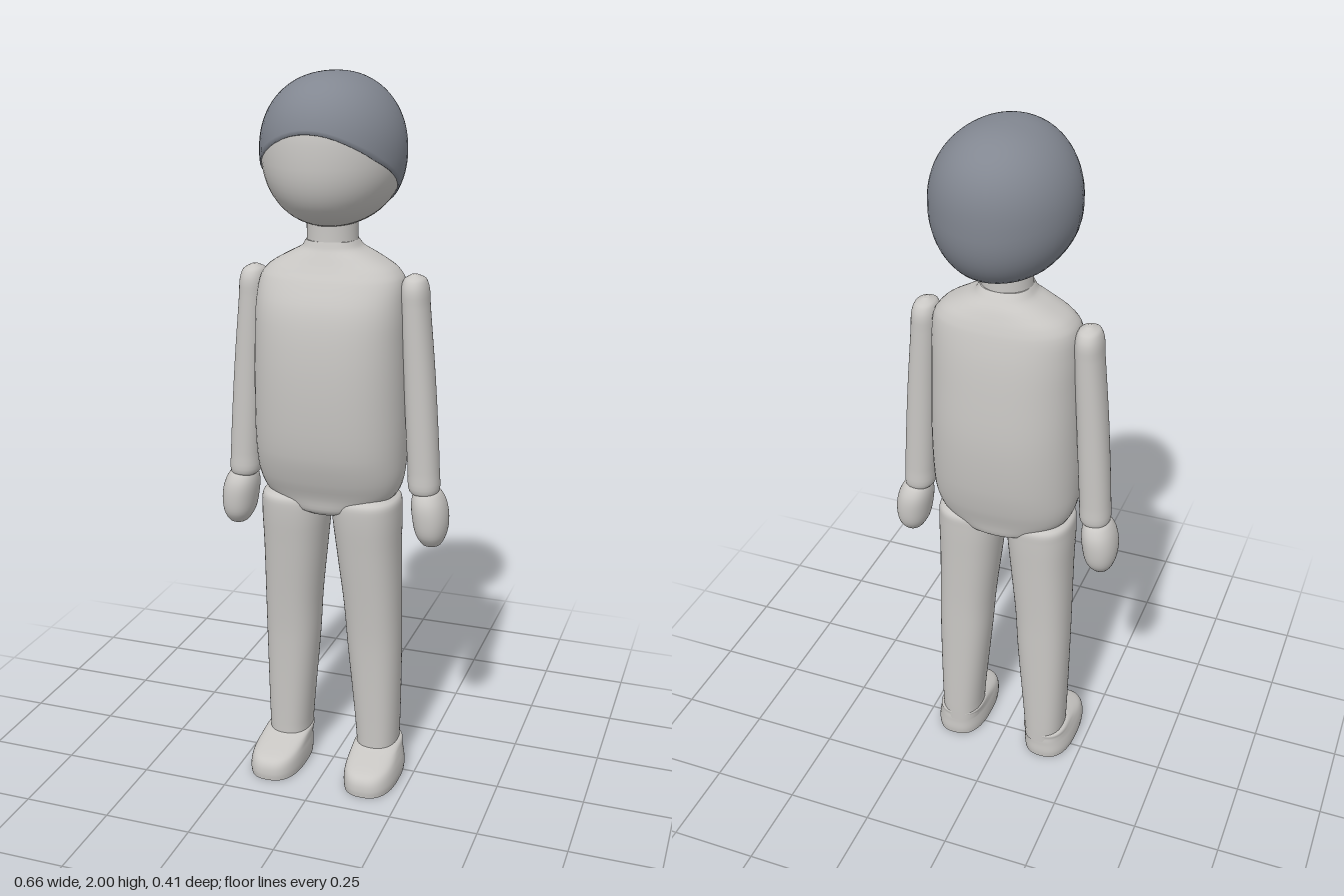
import * as THREE from 'three';

const COLS = 48;

// Closed smooth skin: point(row, angle) runs bottom to top; angle 0 faces +z
function skin(rows, point, caps = false) {
  const pos = [], idx = [];
  for (let i = 0; i < rows; i++)
    for (let j = 0; j < COLS; j++) pos.push(...point(i, (j / COLS) * Math.PI * 2));
  for (let i = 0; i < rows - 1; i++)
    for (let j = 0; j < COLS; j++) {
      const a = i * COLS + j, b = i * COLS + ((j + 1) % COLS);
      idx.push(a, b, b + COLS, a, b + COLS, a + COLS);
    }
  if (caps) {
    for (const row of [0, rows - 1]) {
      const start = pos.length / 3, mid = [0, 0, 0];
      for (let j = 0; j < COLS; j++) {
        const p = point(row, (j / COLS) * Math.PI * 2);
        pos.push(...p);
        p.forEach((v, k) => { mid[k] += v / COLS; });
      }
      pos.push(...mid);
      for (let j = 0; j < COLS; j++) {
        const a = start + j, b = start + ((j + 1) % COLS), c = start + COLS;
        if (row === 0) idx.push(c, b, a);
        else idx.push(c, a, b);
      }
    }
  }
  const g = new THREE.BufferGeometry();
  g.setAttribute('position', new THREE.Float32BufferAttribute(pos, 3));
  g.setIndex(idx);
  g.computeVertexNormals();
  return g;
}

const spow = (v, p) => Math.sign(v) * Math.pow(Math.abs(v), p);

// Loft through rings [y, centre x, centre z, half width, half depth]
function loft(rings, power = 2, side = 1) {
  const centre = new THREE.CatmullRomCurve3(rings.map(r => new THREE.Vector3(r[1] * side, r[0], r[2])));
  const size = new THREE.CatmullRomCurve3(rings.map(r => new THREE.Vector3(r[3], r[4], r[0])));
  const rows = (rings.length - 1) * 4 + 1;
  return skin(rows, (i, a) => {
    const c = centre.getPoint(i / (rows - 1)), s = size.getPoint(i / (rows - 1));
    return [
      c.x + s.x * spow(Math.sin(a), 2 / power),
      c.y,
      c.z + s.y * spow(Math.cos(a), 2 / power),
    ];
  }, true);
}

// Point on the rounded skull; squarer when seen from the side
const skullPower = a => 2.1 + 0.4 * Math.cos(a) ** 2;
function skull(lat, a, scale) {
  const e = 2 / skullPower(a), r = Math.pow(Math.max(0, Math.cos(lat)), e) * scale;
  return [0.192 * r * Math.sin(a), 1.8 + 0.2 * scale * spow(Math.sin(lat), e), 0.209 * r * Math.cos(a)];
}

// Height of the hairline: high at the brow, low at the nape
function hairline(a) {
  const c = Math.cos(a);
  const pts = [[-1, 1.64], [-0.5, 1.662], [0, 1.718], [0.6, 1.79], [0.85, 1.83], [1, 1.858]];
  let k = 0;
  while (k < pts.length - 2 && c > pts[k + 1][0]) k++;
  const [x0, y0] = pts[k], [x1, y1] = pts[k + 1];
  return y0 + ((y1 - y0) * (c - x0)) / (x1 - x0);
}

export function createModel() {
  const model = new THREE.Group();
  const bodyMat = new THREE.MeshStandardMaterial({ color: 0xc9c7c4 });
  bodyMat.name = 'body grey';
  const hairMat = new THREE.MeshStandardMaterial({ color: 0x828791 });
  hairMat.name = 'hair slate';
  const add = (name, geometry, material = bodyMat) => {
    const mesh = new THREE.Mesh(geometry, material);
    mesh.name = name;
    model.add(mesh);
  };

  // Head and hair cap with a thin turned-in rim
  add('head', skin(33, (i, a) => skull((i / 32 - 0.5) * Math.PI, a, 0.98)));
  add('hair', skin(30, (i, a) => {
    const v = (hairline(a) - 1.8) / 0.2;
    const edge = Math.asin(spow(v, skullPower(a) / 2));
    const t = Math.max(0, i - 1) / 28;
    return skull(edge + (Math.PI / 2 - edge) * t, a, i === 0 ? 0.96 : 1);
  }), hairMat);

  // Neck and torso
  add('neck', loft([
    [1.5, 0, 0.01, 0.075, 0.072], [1.56, 0, 0.01, 0.069, 0.068], [1.64, 0, 0.01, 0.069, 0.068],
  ]));
  add('torso', loft([
    [0.815, 0, 0.01, 0.07, 0.085],
    [0.83, 0, 0.01, 0.13, 0.105],
    [0.87, 0, 0.01, 0.185, 0.115],
    [0.92, 0, 0.013, 0.204, 0.133],
    [1.0, 0, 0.017, 0.21, 0.153],
    [1.15, 0, 0.018, 0.21, 0.166],
    [1.3, 0, 0.02, 0.207, 0.161],
    [1.4, 0, 0.017, 0.205, 0.147],
    [1.47, 0, 0.008, 0.196, 0.123],
    [1.5, 0, 0.004, 0.172, 0.108],
    [1.53, 0, 0.003, 0.12, 0.092],
    [1.55, 0, 0.005, 0.082, 0.079],
    [1.57, 0, 0.01, 0.068, 0.068],
  ], 2.4));

  for (const side of [1, -1]) {
    const label = side > 0 ? 'left' : 'right';
    add(label + 'Arm', loft([
      [0.875, 0.266, 0.004, 0.025, 0.03],
      [0.89, 0.264, 0.004, 0.041, 0.046],
      [0.95, 0.261, 0.004, 0.043, 0.047],
      [1.2, 0.245, 0.004, 0.042, 0.049],
      [1.4, 0.23, 0.004, 0.038, 0.051],
      [1.45, 0.228, 0.004, 0.036, 0.05],
      [1.475, 0.227, 0.004, 0.028, 0.038],
      [1.487, 0.226, 0.004, 0.008, 0.01],
    ], 2.2, side));
    add(label + 'Hand', loft([
      [0.725, 0.288, 0, 0.008, 0.01],
      [0.735, 0.288, 0, 0.026, 0.034],
      [0.765, 0.286, 0, 0.042, 0.057],
      [0.81, 0.283, 0, 0.049, 0.065],
      [0.855, 0.277, 0, 0.047, 0.062],
      [0.885, 0.272, 0, 0.036, 0.046],
      [0.9, 0.27, 0, 0.012, 0.014],
    ], 2.2, side));
    add(label + 'Leg', loft([
      [0.06, 0.135, -0.011, 0.058, 0.073],
      [0.12, 0.135, -0.011, 0.061, 0.074],
      [0.4, 0.124, -0.005, 0.076, 0.08],
      [0.53, 0.119, 0.001, 0.08, 0.086],
      [0.7, 0.109, 0.009, 0.088, 0.098],
      [0.82, 0.104, 0.014, 0.094, 0.106],
      [0.855, 0.104, 0.014, 0.09, 0.104],
      [0.87, 0.104, 0.014, 0.07, 0.085],
    ], 2.4, side));
    add(label + 'Shoe', loft([
      [0, 0.144, 0.051, 0.075, 0.133],
      [0.02, 0.144, 0.051, 0.077, 0.135],
      [0.045, 0.143, 0.049, 0.075, 0.132],
      [0.06, 0.142, 0.042, 0.072, 0.125],
      [0.075, 0.14, 0.02, 0.069, 0.102],
      [0.09, 0.138, -0.008, 0.064, 0.074],
      [0.098, 0.137, -0.01, 0.04, 0.05],
    ], 2.6, side));
  }
  return model;
}
